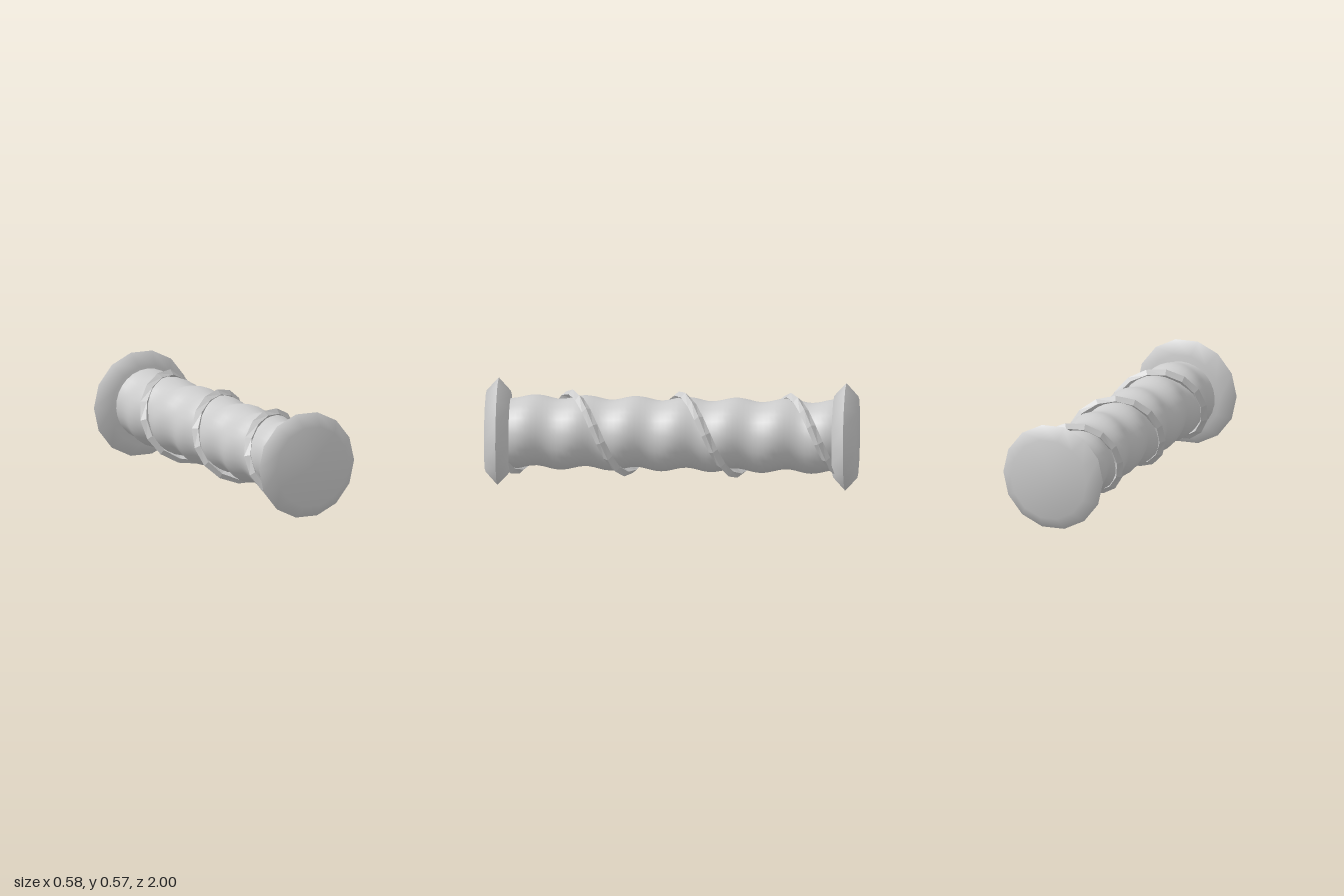
import * as THREE from 'three';

const AXIS_Y = 0.283;
const TAU = Math.PI * 2;

// Tube-like surface swept from a ring function: ring(i, j) -> [x, y, z]
function sweep(rings, sides, ring) {
  const pos = [], idx = [];
  for (let i = 0; i <= rings; i++) {
    for (let j = 0; j < sides; j++) pos.push(...ring(i, j));
  }
  for (let i = 0; i < rings; i++) {
    for (let j = 0; j < sides; j++) {
      const k = (j + 1) % sides;
      const a = i * sides + j, b = i * sides + k;
      const c = a + sides, d = b + sides;
      idx.push(a, b, d, a, d, c);
    }
  }
  const g = new THREE.BufferGeometry();
  g.setAttribute('position', new THREE.Float32BufferAttribute(pos, 3));
  g.setIndex(idx);
  g.computeVertexNormals();
  return g;
}

export function createModel() {
  const model = new THREE.Group();
  const stone = new THREE.MeshStandardMaterial({ color: 0xcccccc });
  stone.name = 'paleGrey';
  const add = (name, geometry, parent = model) => {
    const mesh = new THREE.Mesh(geometry, stone);
    mesh.name = name;
    parent.add(mesh);
    return mesh;
  };

  // Shaft whose bulge winds around it, so opposite sides swell in turn
  const rings = 64, sides = 28;
  add('wavyShaft', sweep(rings, sides, (i, j) => {
    const z = -0.89 + 1.78 * i / rings;
    const a = TAU * j / sides;
    const r = 0.191 + 0.011 * Math.cos(a + TAU * z / 0.27);
    return [r * Math.cos(a), r * Math.sin(a), z];
  })).position.y = AXIS_Y;

  // Ridged strip winding around the shaft, its section square to the helix
  const pitch = 0.59, zStart = -0.88, zEnd = 0.9, steps = 44;
  const radius = 0.207, half = 0.025;
  const slope = Math.atan2(pitch, TAU * radius);
  const strip = sweep(steps, 4, (i, j) => {
    const z = zStart + (zEnd - zStart) * i / steps;
    const a = TAU * (z - 0.37) / pitch;
    const b = TAU * j / 4;
    const r = radius + half * Math.cos(b);
    const side = half * Math.sin(b);
    const along = side * Math.sin(slope);
    return [
      r * Math.cos(a) - along * Math.sin(a),
      r * Math.sin(a) + along * Math.cos(a),
      z - side * Math.cos(slope),
    ];
  }).toNonIndexed();
  strip.computeVertexNormals();
  add('spiralStrip', strip).position.y = AXIS_Y;

  // Fourteen-sided caps, each of two soft domed halves meeting at a sharp rim
  const profile = [[0.29, 0], [0.22, 0.065], [0, 0.065]]
    .map(([r, h]) => new THREE.Vector2(r, h));
  const dome = new THREE.LatheGeometry(profile, 14);
  dome.rotateY(Math.PI / 2).rotateX(Math.PI / 2);
  for (const s of [1, -1]) {
    const cap = new THREE.Group();
    cap.name = s > 0 ? 'frontCap' : 'backCap';
    cap.position.set(0, AXIS_Y, s * 0.935);
    add('frontHalf', dome, cap);
    add('backHalf', dome, cap).rotation.y = Math.PI;
    model.add(cap);
  }
  return model;
}
